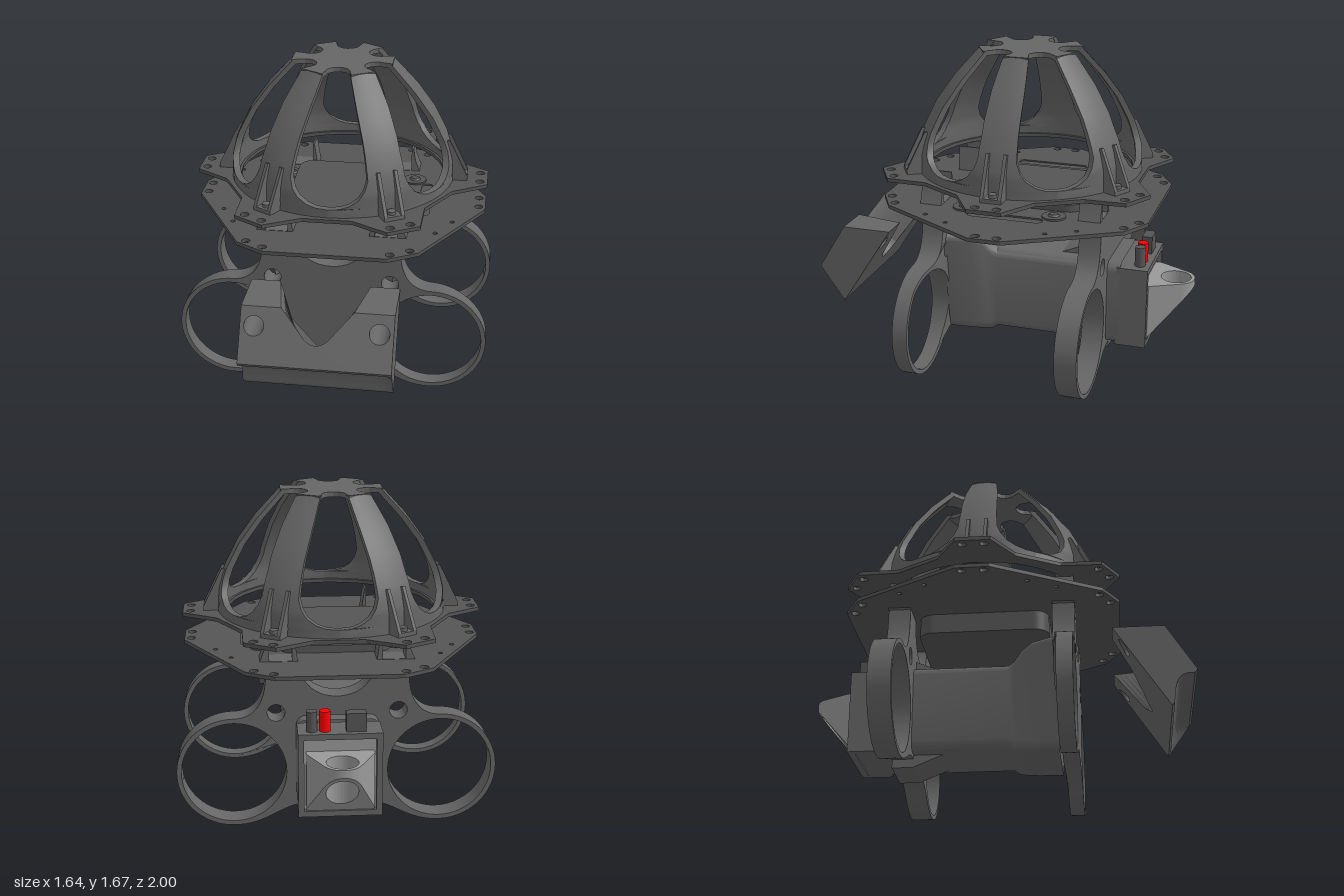
import * as THREE from 'three';
import { toCreasedNormals } from 'three/addons/utils/BufferGeometryUtils.js';

const CZ = -0.085; // axis of dome and plates
const SIDES = [-1, 1];
const V2 = (x, y) => new THREE.Vector2(x, y);
const clamp01 = (v) => Math.min(1, Math.max(0, v));

export function createModel() {
  const root = new THREE.Group();
  const paint = (color) => new THREE.MeshStandardMaterial({ color, side: THREE.DoubleSide });
  const grey = paint(0x666666), dark = paint(0x555555), light = paint(0x999999), red = paint(0xff0000);

  const add = (name, geo, parent = root, mat = grey) => {
    const m = new THREE.Mesh(geo, mat);
    m.name = name;
    parent.add(m);
    return m;
  };
  const group = (name, z = 0) => {
    const g = new THREE.Group();
    g.name = name;
    g.position.z = z;
    root.add(g);
    return g;
  };
  const hole = (shape, x, y, r) => shape.holes.push(new THREE.Path().absarc(x, y, r, 0, Math.PI * 2, true));
  const extrude = (shape, depth, steps = 1, curveSegments = 16) =>
    new THREE.ExtrudeGeometry(shape, { depth, steps, curveSegments, bevelEnabled: false });
  const slab = (shape, y, h) => extrude(shape, h).rotateX(-Math.PI / 2).translate(0, y, 0);
  const box = (w, h, d, x, y, z) => new THREE.BoxGeometry(w, h, d).translate(x, y, z);
  const remap = (geo, rule) => {
    const p = geo.attributes.position;
    for (let i = 0; i < p.count; i++) p.setXYZ(i, ...rule(p.getX(i), p.getY(i), p.getZ(i)));
    geo.computeVertexNormals();
    return geo;
  };
  const roundRect = (x0, y0, x1, y1, r) => {
    const s = new THREE.Shape();
    s.absarc(x1 - r, y0 + r, r, -Math.PI / 2, 0);
    s.absarc(x1 - r, y1 - r, r, 0, Math.PI / 2);
    s.absarc(x0 + r, y1 - r, r, Math.PI / 2, Math.PI);
    s.absarc(x0 + r, y0 + r, r, Math.PI, Math.PI * 1.5);
    return s;
  };
  // Skin through closed cross-sections
  const loft = (sections) => {
    const n = sections[0].length, pos = sections.flat(2), idx = [];
    for (let i = 0; i < sections.length - 1; i++)
      for (let j = 0; j < n; j++) {
        const a = i * n + j, b = i * n + (j + 1) % n;
        idx.push(a, b, b + n, a, b + n, a + n);
      }
    const g = new THREE.BufferGeometry();
    g.setAttribute('position', new THREE.Float32BufferAttribute(pos, 3));
    g.setIndex(idx);
    return toCreasedNormals(g, 0.6);
  };
  // Points repeated around six directions
  const six = (pts) => [0, 1, 2, 3, 4, 5].flatMap(k =>
    pts.map(([x, y]) => V2(x, y).rotateAround(V2(0, 0), k * Math.PI / 3)));
  const cornerHoles = (s) => six([[0.74, 0.055], [0.74, -0.055]]).forEach(p => hole(s, p.x, p.y, 0.022));

  // Lower plate: two layers, the upper one with blind slots
  const lower = group('lowerPlate', CZ);
  const deckShape = (slotted) => {
    const shape = new THREE.Shape(six([[0.776, -0.085], [0.776, 0.085]]));
    cornerHoles(shape);
    for (const s of SIDES) {
      if (slotted) shape.holes.push(new THREE.Path(roundRect(s * 0.45 - 0.032, -0.2, s * 0.45 + 0.032, 0.2, 0.03).getPoints(6)));
      for (const t of SIDES) {
        hole(shape, s * 0.61, t * 0.26, 0.012);
        hole(shape, s * 0.53, t * 0.4, 0.012);
      }
    }
    return shape;
  };
  add('lowerDeck', slab(deckShape(false), 0.868, 0.012), lower, dark);
  add('lowerDeckTop', slab(deckShape(true), 0.88, 0.008), lower, dark);
  for (const x of [-0.325, 0.375]) for (const t of SIDES) {
    add('grommet', new THREE.CylinderGeometry(0.062, 0.062, 0.01, 24).translate(x, 0.893, t * 0.24), lower, dark);
    add('grommetCap', new THREE.CylinderGeometry(0.022, 0.032, 0.01, 16).translate(x, 0.902, t * 0.24), lower, dark);
  }
  add('trayRim', slab(roundRect(-0.285, -0.355, 0.285, 0.355, 0.08), 0.885, 0.042), lower, dark);
  add('trayBowl', slab(roundRect(-0.27, -0.342, 0.27, 0.342, 0.08), 0.762, 0.11), lower, dark);

  // Upper ring plate with six tabs
  const upper = group('upperPlate', CZ);
  const upperShape = new THREE.Shape(six([[0.6, -0.2], [0.78, -0.09], [0.78, 0.09], [0.6, 0.2]]));
  hole(upperShape, 0, 0, 0.55);
  cornerHoles(upperShape);
  add('upperRing', slab(upperShape, 1.017, 0.02), upper, dark);

  // Dome: six ribs with egg-shaped windows between them
  const dome = group('dome', CZ);
  const lerpTable = (table, v) => {
    let i = 0;
    while (i < table.length - 2 && v > table[i + 1][0]) i++;
    const [a, b] = [table[i], table[i + 1]];
    return a[1] + (b[1] - a[1]) * (v - a[0]) / (b[0] - a[0]);
  };
  const radius = [[1.035, 0.598], [1.15, 0.592], [1.25, 0.566], [1.4, 0.49], [1.53, 0.395], [1.672, 0.265]];
  const windowHalf = [[1.08, 0], [1.084, 0.06], [1.1, 0.11], [1.13, 0.155], [1.17, 0.182], [1.22, 0.195],
    [1.3, 0.184], [1.4, 0.16], [1.53, 0.118], [1.6, 0.094], [1.672, 0.07]];
  const levels = [1.035, 1.08, 1.084, 1.09, 1.1, 1.115, 1.13, 1.15, 1.17, 1.22, 1.27, 1.33, 1.4, 1.47, 1.53, 1.6, 1.672];
  const ribGeo = loft(levels.map(y => {
    const r = lerpTable(radius, y);
    const a = Math.PI / 6 - Math.asin(Math.max(0, lerpTable(windowHalf, Math.max(y, 1.08))) / r);
    const loop = [], n = 8;
    for (const [rr, dir] of [[r, 1], [r - 0.035, -1]])
      for (let j = 0; j <= n; j++) {
        const t = dir * a * (2 * j / n - 1);
        loop.push([rr * Math.cos(t), y, -rr * Math.sin(t)]);
      }
    return loop;
  }));
  const finShape = new THREE.Shape([V2(0.585, 1.035), V2(0.672, 1.035), V2(0.672, 1.06), V2(0.573, 1.262), V2(0.55, 1.255)]);
  for (let k = 0; k < 6; k++) {
    const g = new THREE.Group();
    g.name = 'domeRib';
    g.rotation.y = k * Math.PI / 3;
    dome.add(g);
    add('rib', ribGeo, g);
    for (const s of SIDES) add('footFin', extrude(finShape, 0.018).translate(0, 0, s * 0.046 - 0.009), g);
    add('footPad', box(0.09, 0.025, 0.1, 0.627, 1.046, 0), g);
    add('footBolt', new THREE.CylinderGeometry(0.022, 0.022, 0.02, 16).translate(0.635, 1.066, 0), g);
  }
  // Star-shaped crown with rounded notches
  const notch = Array.from({ length: 9 }, (_, i) => {
    const a = -Math.PI / 3 - i * Math.PI / 8;
    return [0.186 + 0.062 * Math.cos(a), 0.1075 + 0.062 * Math.sin(a)];
  });
  const crown = new THREE.Shape(six([[0.264, -0.066], [0.264, 0.066], ...notch]));
  add('crown', slab(crown, 1.65, 0.025), dome);

  // Double-ring mounts with forked prongs reaching the upper plate
  const mountShape = () => {
    const half = new THREE.Path();
    half.moveTo(0, 0.12);
    half.lineTo(0.14, 0.12);
    half.bezierCurveTo(0.29, 0.12, 0.35, 0.005, 0.527, 0.005);
    half.absarc(0.527, 0.297, 0.292, -Math.PI / 2, Math.PI / 2, false);
    half.bezierCurveTo(0.41, 0.59, 0.355, 0.68, 0.36, 0.86);
    for (const [x, y] of [[0.39, 0.885], [0.365, 0.95], [0.353, 1.02], [0.342, 1.02], [0.342, 0.89],
      [0.226, 0.89], [0.226, 1.02], [0.217, 1.02], [0.205, 0.94], [0.195, 0.87]]) half.lineTo(x, y);
    half.bezierCurveTo(0.18, 0.76, 0.1, 0.7, 0, 0.7);
    const pts = half.getPoints(20);
    const s = new THREE.Shape([...pts, ...pts.slice(1, -1).reverse().map(p => V2(-p.x, p.y))]);
    for (const k of SIDES) {
      hole(s, k * 0.527, 0.297, 0.268);
      hole(s, k * 0.31, 0.617, 0.045);
    }
    return s;
  };
  const mountGeo = () => extrude(mountShape(), 0.115, 1, 32);
  // The front mount thins towards the outer rims of its rings
  add('frontMount', toCreasedNormals(remap(mountGeo(), (x, y, z) =>
    [x, y, z > 0.05 ? z : 0.035 * clamp01((Math.hypot(x, y - 0.8) - 0.45) / 0.3)]), 0.5)).position.z = 0.282;
  add('backMount', toCreasedNormals(mountGeo(), 0.5)).position.z = -0.57;

  // Long housing, flared where it meets the front mount
  const section = ([z, hw, y0, y1, f]) => roundRect(-hw, y0, hw, y1, 0.05).getPoints(6)
    .map(p => [p.x * (1 + f * Math.max(0, p.y - 0.4)), p.y, z]);
  add('housing', loft([[-0.64, 0.21, 0.14, 0.6, 0], [0.04, 0.21, 0.14, 0.6, 0], [0.07, 0.215, 0.12, 0.62, 0.1],
    [0.11, 0.22, 0.115, 0.67, 0.4], [0.17, 0.23, 0.115, 0.7, 0.8], [0.3, 0.24, 0.115, 0.71, 1.4]].map(section)));
  // Wedges bracing the back mount above and below
  const wedge = (pts) => extrude(new THREE.Shape(pts.map(p => V2(-p[0], p[1]))), 0.25)
    .rotateY(Math.PI / 2).translate(-0.125, 0, 0);
  add('bottomWedge', wedge([[-0.3, 0.14], [-0.46, 0.14], [-0.46, 0.075]]));
  add('topWedge', wedge([[-0.3, 0.598], [-0.46, 0.665], [-0.46, 0.598]]));
  add('backMountFoot', box(0.25, 0.07, 0.11, 0, 0.11, -0.512));

  // Rear box: core, rim, pale back panel, pins and connector
  const rear = group('rearBox');
  add('rearCore', box(0.42, 0.44, 0.13, 0, 0.36, -0.685), rear);
  add('rearPanel', box(0.36, 0.38, 0.006, 0, 0.36, -0.753), rear, light);
  const rim = new THREE.Shape([V2(-0.21, 0.14), V2(0.21, 0.14), V2(0.21, 0.58), V2(-0.21, 0.58)]);
  rim.holes.push(new THREE.Path([V2(-0.18, 0.17), V2(-0.18, 0.55), V2(0.18, 0.55), V2(0.18, 0.17)]));
  add('rearRim', extrude(rim, 0.04).translate(0, 0, -0.785), rear);
  const pin = new THREE.CylinderGeometry(0.028, 0.028, 0.12, 20);
  add('darkPin', pin, rear, dark).position.set(0.14, 0.625, -0.73);
  add('redPin', pin, rear, red).position.set(0.075, 0.625, -0.73);
  add('connector', box(0.1, 0.1, 0.055, -0.08, 0.625, -0.73), rear, dark);

  // Tail bracket: tapered eye with a sloping underside
  const eye = new THREE.Shape();
  eye.moveTo(-0.17, 0.745);
  eye.lineTo(0.17, 0.745);
  eye.lineTo(0.17, 0.79);
  eye.lineTo(0.09, 0.945);
  eye.absarc(0, 0.9, 0.1, 0.46, Math.PI - 0.46, false);
  eye.lineTo(-0.17, 0.79);
  hole(eye, 0, 0.9, 0.08);
  add('tailBracket', remap(slab(eye, 0, 1), (x, y, z) =>
    [x, y > 0.5 ? 0.48 : 0.44 - (z + 1) * 1.2, z]), root, light);

  // Front slanted block with notch, level bolt holes and an underside channel
  const nose = new THREE.Shape();
  nose.moveTo(-0.38, 0);
  for (const x of [0.2, 0.29, 0.33, 0.355, 0.368, 0.38]) nose.lineTo(x, 0);
  nose.lineTo(0.38, 0.287);
  nose.lineTo(0.18, 0.287);
  nose.lineTo(0.06, 0.142);
  nose.quadraticCurveTo(0, 0.085, -0.06, 0.142);
  nose.lineTo(-0.18, 0.287);
  nose.lineTo(-0.38, 0.287);
  for (const k of SIDES) hole(nose, k * 0.31, 0.19, 0.05);
  const noseGeo = remap(extrude(nose, 1, 10), (x, s, t) => {
    const f = s / 0.287;
    const inHole = s > 0.13 && s < 0.25 && Math.abs(x) > 0.25 && Math.abs(x) < 0.37;
    const zf = 1 - 0.15 * f, yf = 0.455 + 0.245 * f;
    const back = inHole ? (yf - 0.265) / 0.435 : (s < 0.115 ? s * 1.25 : 0.144 + (s - 0.115) * 2.17) / 0.517;
    const zb = 0.865 - 0.28 * back, yb = 0.265 + 0.435 * back;
    const widen = s > 0.05 && Math.abs(x) < 0.2 ? 1 + (1 - t) * (1.35 - 1.07 * f) : 1;
    const end = Math.sqrt(Math.max(0, 1 - Math.max(0, (x - 0.29) / 0.08) ** 2));
    const dent = s < 1e-4 && t > 0.15 && t < 0.85 ? 0.05 * end * Math.sin(Math.PI * (t - 0.1) / 0.8) : 0;
    return [x * widen, yb + (yf - yb) * t + dent, zb + (zf - zb) * t - dent * 0.5];
  });
  add('frontBlock', noseGeo);

  return root;
}
